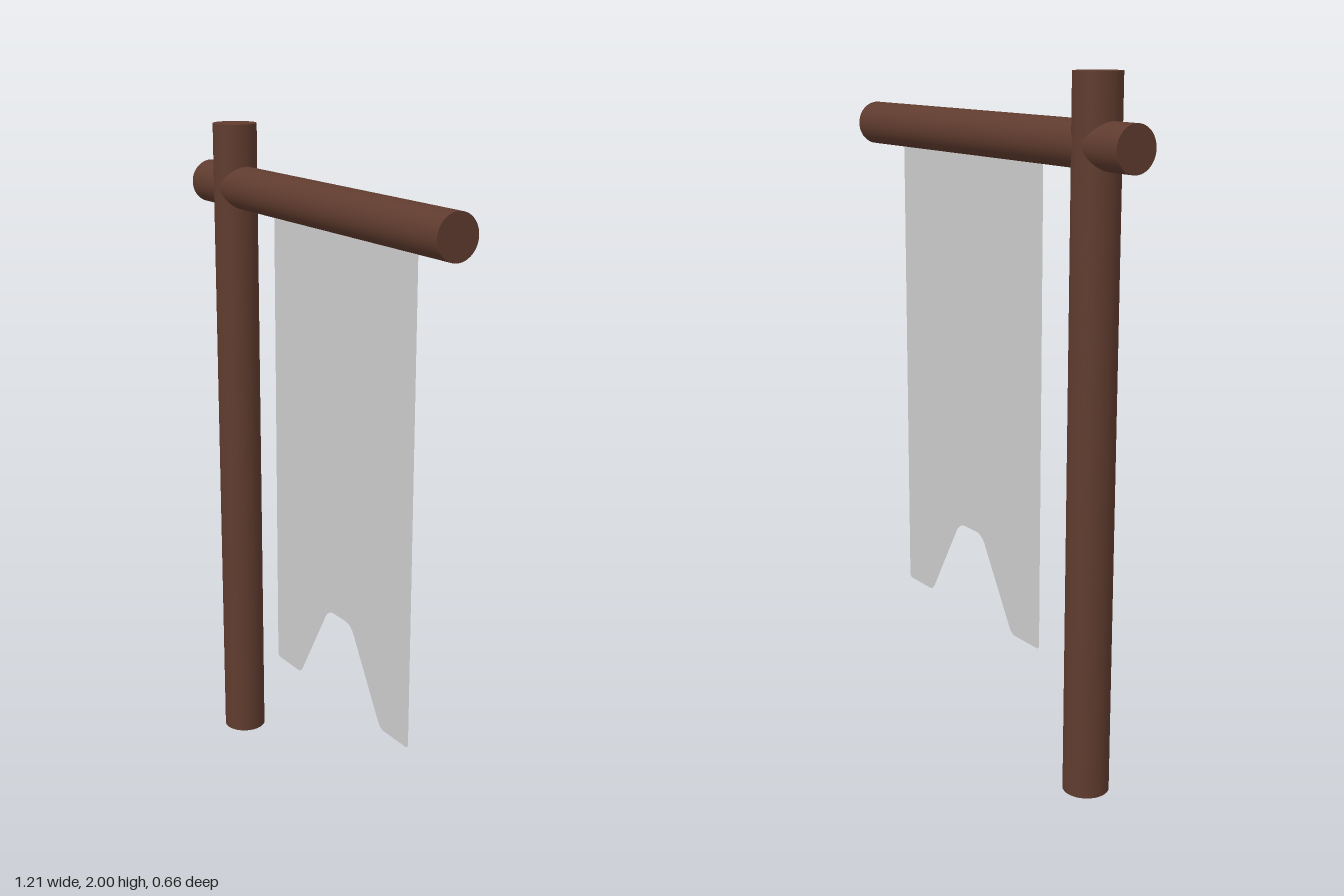
import * as THREE from 'three';

export function createModel() {
  const model = new THREE.Group();
  const wood = new THREE.MeshStandardMaterial({ color: 0x5f3b2e });
  const cloth = new THREE.MeshStandardMaterial({ color: 0xcccccc, side: THREE.DoubleSide });

  // Round wooden pole, upright until turned
  const pole = (name, radius, length) => {
    const mesh = new THREE.Mesh(new THREE.CylinderGeometry(radius, radius, length, 48), wood);
    mesh.name = name;
    return mesh;
  };

  // Upright post
  const post = pole('post', 0.066, 2);
  post.position.set(-0.435, 1, -0.205);
  model.add(post);

  // Crossbar and banner share one swing about the vertical axis
  const arm = new THREE.Group();
  arm.name = 'arm';
  arm.rotation.y = -THREE.MathUtils.degToRad(25.2);
  model.add(arm);

  const crossbar = pole('crossbar', 0.064, 1.28);
  crossbar.rotation.z = Math.PI / 2;
  crossbar.position.y = 1.813;
  arm.add(crossbar);

  // Thin cloth with a rounded notch in its lower edge
  const w = 0.3625, top = 1.765, hem = 0.34, notch = 0.61;
  const s = new THREE.Shape();
  s.moveTo(-w, top);
  s.lineTo(-w, hem + 0.015);
  s.quadraticCurveTo(-w, hem, -w + 0.015, hem);
  s.lineTo(-0.24, hem);
  s.quadraticCurveTo(-0.222, hem, -0.21, hem + 0.02);
  s.lineTo(-0.085, notch - 0.04);
  s.quadraticCurveTo(-0.066, notch, -0.03, notch);
  s.lineTo(0.03, notch);
  s.quadraticCurveTo(0.066, notch, 0.085, notch - 0.04);
  s.lineTo(0.21, hem + 0.02);
  s.quadraticCurveTo(0.222, hem, 0.24, hem);
  s.lineTo(w - 0.015, hem);
  s.quadraticCurveTo(w, hem, w, hem + 0.015);
  s.lineTo(w, top);
  s.closePath();
  const banner = new THREE.Mesh(new THREE.ShapeGeometry(s, 8), cloth);
  banner.name = 'banner';
  banner.position.x = 0.113;
  arm.add(banner);

  return model;
}
